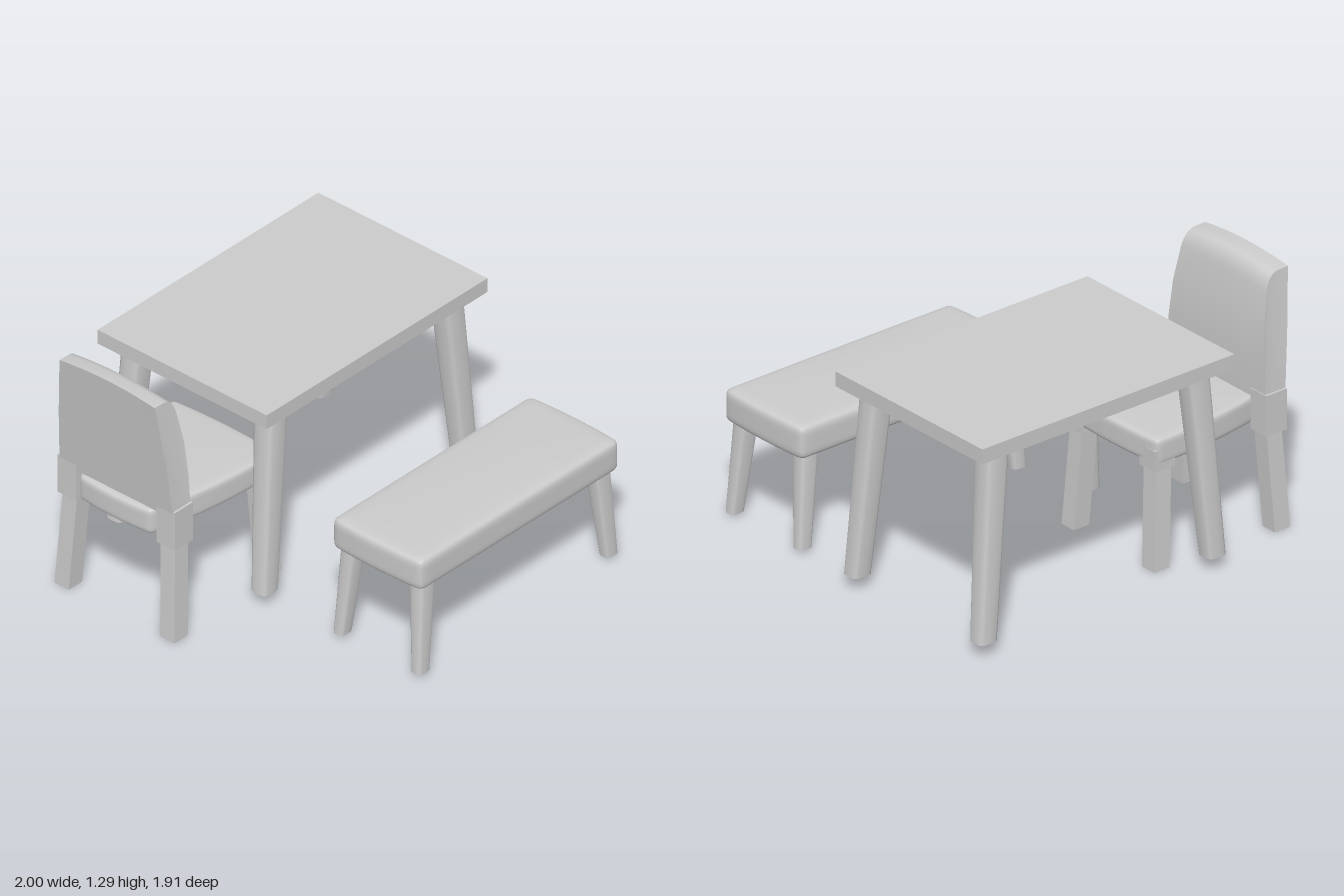
import * as THREE from 'three';
import { mergeVertices, toCreasedNormals } from 'three/addons/utils/BufferGeometryUtils.js';

const smooth = new THREE.MeshStandardMaterial({ color: 0xcccccc });
const open = new THREE.MeshStandardMaterial({ color: 0xcccccc, side: THREE.DoubleSide });
const flat = new THREE.MeshStandardMaterial({ color: 0xcccccc, side: THREE.DoubleSide, flatShading: true });

// Apply a rule to every vertex of a geometry
function reshape(geo, rule) {
  const pos = geo.attributes.position;
  const v = new THREE.Vector3();
  for (let i = 0; i < pos.count; i++) {
    v.fromBufferAttribute(pos, i);
    rule(v);
    pos.setXYZ(i, v.x, v.y, v.z);
  }
  geo.computeVertexNormals();
  return geo;
}

function add(parent, name, geo, material = smooth, x = 0, y = 0, z = 0) {
  const mesh = new THREE.Mesh(geo, material);
  mesh.name = name;
  mesh.position.set(x, y, z);
  parent.add(mesh);
  return mesh;
}

function box(parent, name, x0, x1, y0, y1, z0, z1) {
  return add(parent, name, new THREE.BoxGeometry(x1 - x0, y1 - y0, z1 - z0), smooth,
    (x0 + x1) / 2, (y0 + y1) / 2, (z0 + z1) / 2);
}

// Slanted tapered leg; each end is { x, y, z, w, d }
function leg(parent, name, top, bottom, rounded) {
  const geo = new THREE.CylinderGeometry(1, 1, 1, rounded ? 16 : 4, 1, true, Math.PI / 4);
  const square = (c) => Math.sign(c) * Math.min(1, Math.abs(c) ** 0.55);
  reshape(geo, (v) => {
    const end = v.y > 0 ? top : bottom;
    const k = rounded ? 1 : Math.SQRT2;
    const sx = rounded ? square(v.x) : v.x * k;
    const sz = rounded ? square(v.z) : v.z * k;
    v.set(end.x + sx * end.w / 2, end.y, end.z + sz * end.d / 2);
  });
  add(parent, name, geo, rounded ? open : flat);
}

// Four mirrored rounded legs around the origin of the parent
function fourLegs(parent, name, top, bottom) {
  for (const sx of [-1, 1]) for (const sz of [-1, 1]) {
    const flip = (e) => ({ ...e, x: e.x * sx, z: e.z * sz });
    leg(parent, name, flip(top), flip(bottom), true);
  }
}

// Soft rounded block with bulging faces, subdivisions crowded toward its edges
function cushion(w, h, d, r, bulgeX, bulgeY, rule = () => {}) {
  let geo = new THREE.BoxGeometry(2, 2, 2, 20, 12, 16);
  geo.deleteAttribute('uv');
  geo.deleteAttribute('normal');
  geo = mergeVertices(geo);
  const half = new THREE.Vector3(w / 2 - bulgeX, h / 2 - bulgeY / 2, d / 2);
  const inner = half.clone().subScalar(r);
  const core = new THREE.Vector3();
  const spread = (u) => Math.sin(u * Math.PI / 2);
  return reshape(geo, (v) => {
    v.set(spread(v.x), spread(v.y), spread(v.z)).multiply(half);
    core.copy(v).clamp(inner.clone().negate(), inner);
    v.sub(core).setLength(r).add(core);
    const nx = v.x / half.x, ny = v.y / half.y, nz = v.z / half.z;
    v.x += nx * bulgeX * (1 - nz * nz);
    v.y += bulgeY * (Math.max(0, ny) * (1 - nz * nz) * (1 - nx * nx) - 0.5);
    rule(v);
  });
}

function createTable() {
  const table = new THREE.Group();
  table.name = 'table';
  table.position.set(0.255, 0, -0.443);
  box(table, 'tableTop', -0.745, 0.745, 1.005, 1.08, -0.515, 0.515);
  fourLegs(table, 'tableLeg',
    { x: 0.593, y: 1.01, z: 0.402, w: 0.135, d: 0.122 },
    { x: 0.677, y: 0.065, z: 0.442, w: 0.107, d: 0.098 });
  return table;
}

function createBench() {
  const bench = new THREE.Group();
  bench.name = 'bench';
  bench.position.set(0.2525, 0, 0.675);
  add(bench, 'benchSeat', cushion(1.365, 0.18, 0.55, 0.035, 0.012, 0.012), smooth, 0, 0.56, 0);
  fourLegs(bench, 'benchLeg',
    { x: 0.592, y: 0.48, z: 0.208, w: 0.105, d: 0.087 },
    { x: 0.635, y: 0.015, z: 0.237, w: 0.076, d: 0.062 });
  return bench;
}

// Chair turned toward +x
function createChair() {
  const chair = new THREE.Group();
  chair.name = 'chair';
  chair.position.z = -0.44;

  // Seat narrows in a curve toward the backrest
  const seatX = -0.5775;
  add(chair, 'chairSeat', cushion(0.775, 0.143, 0.63, 0.025, 0.015, 0.01, (v) => {
    const back = Math.max(0, -0.25 - (v.x + seatX));
    v.z *= 1 - 0.2 * back * back / 0.315;
  }), smooth, seatX, 0.594, 0);

  // Backrest: side profile swept across, tapered upward, with a domed top
  const profile = new THREE.Shape();
  profile.moveTo(-0.935, 0.66);
  profile.lineTo(-0.82, 0.66);
  profile.lineTo(-0.822, 0.85);
  profile.lineTo(-0.835, 1.03);
  profile.lineTo(-0.865, 1.2);
  profile.quadraticCurveTo(-0.882, 1.29, -0.94, 1.293);
  profile.lineTo(-1, 1.295);
  profile.lineTo(-0.965, 0.96);
  profile.closePath();
  const back = new THREE.ExtrudeGeometry(profile, { depth: 2, steps: 12, bevelEnabled: false, curveSegments: 6 });
  reshape(back, (v) => {
    const s = v.z - 1;
    const t = (v.y - 0.66) / 0.635;
    v.z = s * (0.348 - 0.035 * t - 0.023 * t * t);
    v.y -= 0.02 * s * s * Math.max(0, t * 2 - 1);
  });
  add(chair, 'backrest', toCreasedNormals(back, 0.6));

  // Mirrored sockets and square legs
  for (const s of [-1, 1]) {
    const span = (a, b) => (s > 0 ? [a, b] : [-b, -a]);
    box(chair, 'backrestSocket', -0.938, -0.816, 0.495, 0.7, ...span(0.245, 0.357));
    box(chair, 'frontLegSocket', -0.312, -0.198, 0.495, 0.6, ...span(0.2, 0.312));
    leg(chair, 'chairBackLeg',
      { x: -0.875, y: 0.5, z: s * 0.298, w: 0.09, d: 0.087 },
      { x: -0.905, y: 0, z: s * 0.322, w: 0.09, d: 0.087 }, false);
    leg(chair, 'chairFrontLeg',
      { x: -0.255, y: 0.5, z: s * 0.258, w: 0.09, d: 0.087 },
      { x: -0.225, y: 0, z: s * 0.282, w: 0.09, d: 0.087 }, false);
  }
  return chair;
}

export function createModel() {
  const model = new THREE.Group();
  model.name = 'diningSet';
  model.add(createTable(), createBench(), createChair());
  return model;
}
